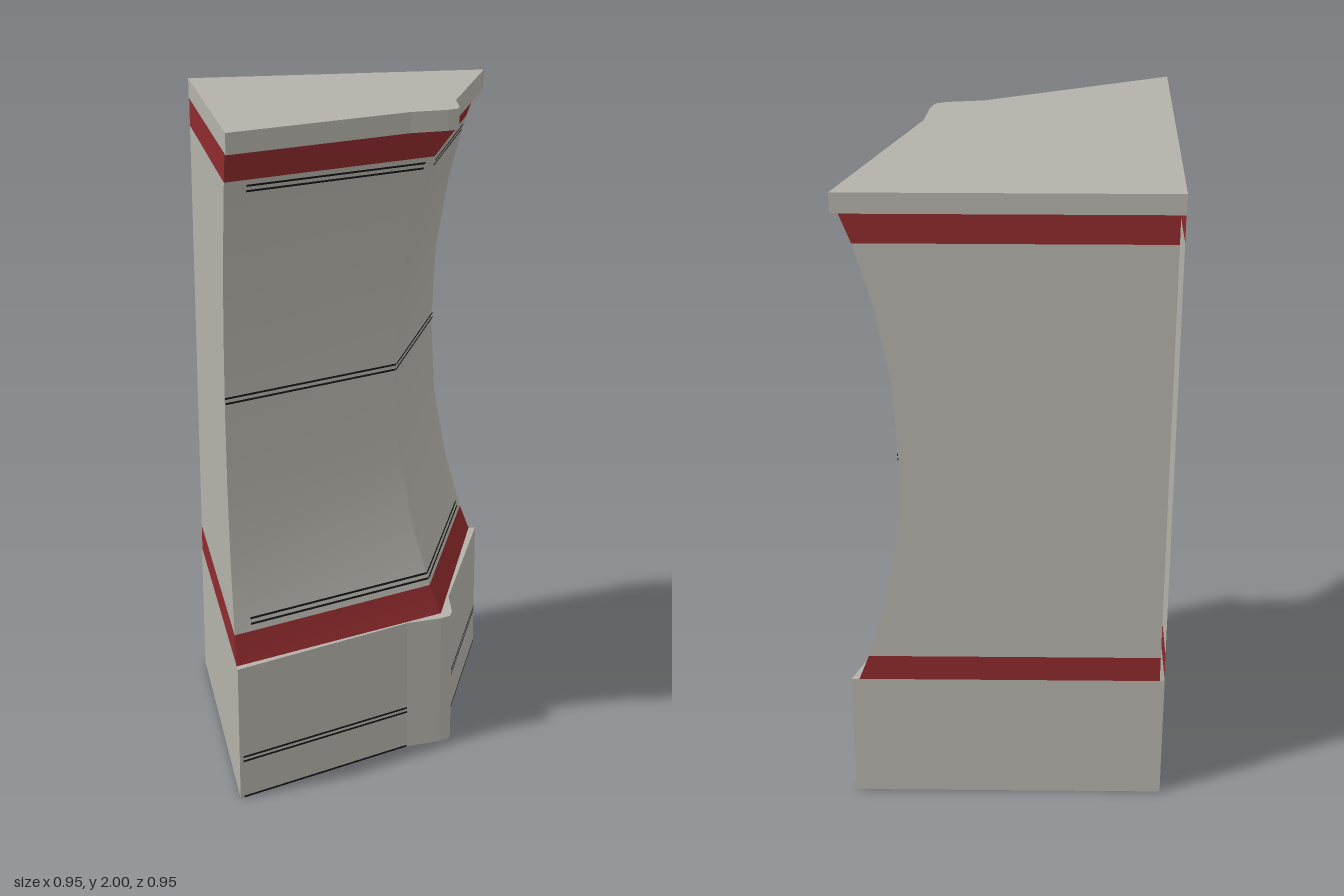
import * as THREE from 'three';

const E = 0.473; // outer half width
const mat = (name, color) => {
  const m = new THREE.MeshStandardMaterial({ color, side: THREE.DoubleSide });
  m.name = name;
  return m;
};

// Plan outline of plinth and cap, front part, as [x, z]
const frontEdge = [[-E, E], [0.08, 0.25], [0.19, 0.235], [0.222, 0.222], [0.235, 0.19], [0.25, 0.08], [E, -E]];
const outline = [[-E, -E], ...frontEdge];

// Body profile: [height, end reach r, corner reach c]; narrow at the waist
const half = [[0.425, 0.45, 0.198], [0.51, 0.418, 0.168], [0.71, 0.362, 0.119], [0.94, 0.322, 0.085], [1.1825, 0.31, 0.074]];
const profile = [...half, ...half.slice(0, -1).reverse().map(([y, r, c]) => [2.365 - y, r, c])];

// Profile interpolated at any height
function profileAt(y) {
  let i = 0;
  while (i < profile.length - 2 && profile[i + 1][0] < y) i++;
  const a = profile[i], b = profile[i + 1], t = (y - a[0]) / (b[0] - a[0]);
  return [y, a[1] + (b[1] - a[1]) * t, a[2] + (b[2] - a[2]) * t];
}

// Wall from rows of [y, [x, z] start, [x, z] end]; smooth up its height
function wallGeometry(rows, materialOf) {
  const pos = [], index = [];
  const g = new THREE.BufferGeometry();
  rows.forEach(([y, a, b], i) => {
    pos.push(a[0], y, a[1], b[0], y, b[1]);
    if (i === rows.length - 1) return;
    const k = i * 2;
    index.push(k, k + 1, k + 3, k, k + 3, k + 2);
    if (materialOf) g.addGroup(i * 6, 6, materialOf(i));
  });
  g.setAttribute('position', new THREE.Float32BufferAttribute(pos, 3));
  g.setIndex(index);
  g.computeVertexNormals();
  return g;
}

// Part of a straight segment, pushed outward by d
function segment(a, b, t0, t1, d) {
  const dx = b[0] - a[0], dz = b[1] - a[1], l = Math.hypot(dx, dz);
  const at = t => [a[0] + dx * t - (dz / l) * d, a[1] + dz * t + (dx / l) * d];
  return [at(t0), at(t1)];
}

export function createModel() {
  const model = new THREE.Group();
  model.name = 'waistedPillar';
  const stone = mat('stoneGrey', 0xb3b1a9);
  const red = mat('bandRed', 0x8e2a2c);
  const black = mat('lineBlack', 0x151515);
  const add = (name, geometry, material, parent = model) => {
    const m = new THREE.Mesh(geometry, material);
    m.name = name;
    parent.add(m);
    return m;
  };
  const toShape = pts => new THREE.Shape(pts.map(([x, z]) => new THREE.Vector2(x, -z)));

  // Hollow plinth, open below
  const plinth = new THREE.Group();
  plinth.name = 'plinth';
  model.add(plinth);
  outline.forEach((a, i) => {
    const b = outline[(i + 1) % outline.length];
    add('plinthWall', wallGeometry([[0, a, b], [0.425, a, b]]), stone, plinth);
  });

  // Narrow ledge between plinth and body
  const [, r0, c0] = profile[0];
  const ledge = new THREE.ShapeGeometry(toShape([...frontEdge, [r0, -E], [c0, c0], [-E, r0]]));
  add('plinthLedge', ledge.rotateX(-Math.PI / 2).translate(0, 0.425, 0), stone, plinth);

  // Body walls with red bands at both ends; a slit stays open at the back corner
  const G = 0.458;
  const sides = {
    frontWall: (r, c) => [[-E, r], [c, c]],
    sideWall: (r, c) => [[c, c], [r, -E]],
    backWall: r => [[r, -E], [-G, -E]],
    innerSideWall: r => [[-E, -G], [-E, r]],
  };
  const last = profile.length - 2;
  for (const [name, plan] of Object.entries(sides)) {
    const rows = profile.map(([y, r, c]) => [y, ...plan(r, c)]);
    add(name, wallGeometry(rows, i => (i === 0 || i === last ? 1 : 0)), [stone, red]);
  }

  // Cap slab
  const cap = new THREE.ExtrudeGeometry(toShape(outline), { depth: 0.06, bevelEnabled: false });
  add('cap', cap.rotateX(-Math.PI / 2).translate(0, 1.94, 0), stone);

  // Paired thin lines on the two curved walls: [height, start, end] along the wall
  const lines = new THREE.Group();
  lines.name = 'thinLines';
  model.add(lines);
  for (const [y, t0, t1] of [[0.54, 0.08, 1], [1.197, 0, 1], [1.83, 0.1, 0.96]]) {
    for (const offset of [-0.008, 0.008]) {
      for (const name of ['frontWall', 'sideWall']) {
        const [s, e] = name === 'frontWall' ? [t0, t1] : [1 - t1, 1 - t0];
        const rows = [-0.003, 0.003].map(h => {
          const [yy, r, c] = profileAt(y + offset + h);
          return [yy, ...segment(...sides[name](r, c), s, e, 0.003)];
        });
        add('bodyLine', wallGeometry(rows), black, lines);
      }
    }
  }

  // Lines on the plinth's two long front faces
  for (const [a, b, s, e] of [[frontEdge[0], frontEdge[1], 0.02, 1], [frontEdge[5], frontEdge[6], 0, 0.98]]) {
    for (const y of [0.004, 0.122, 0.136]) {
      const p = segment(a, b, s, e, 0.002);
      add('plinthLine', wallGeometry([[y - 0.003, ...p], [y + 0.003, ...p]]), black, lines);
    }
  }
  return model;
}
